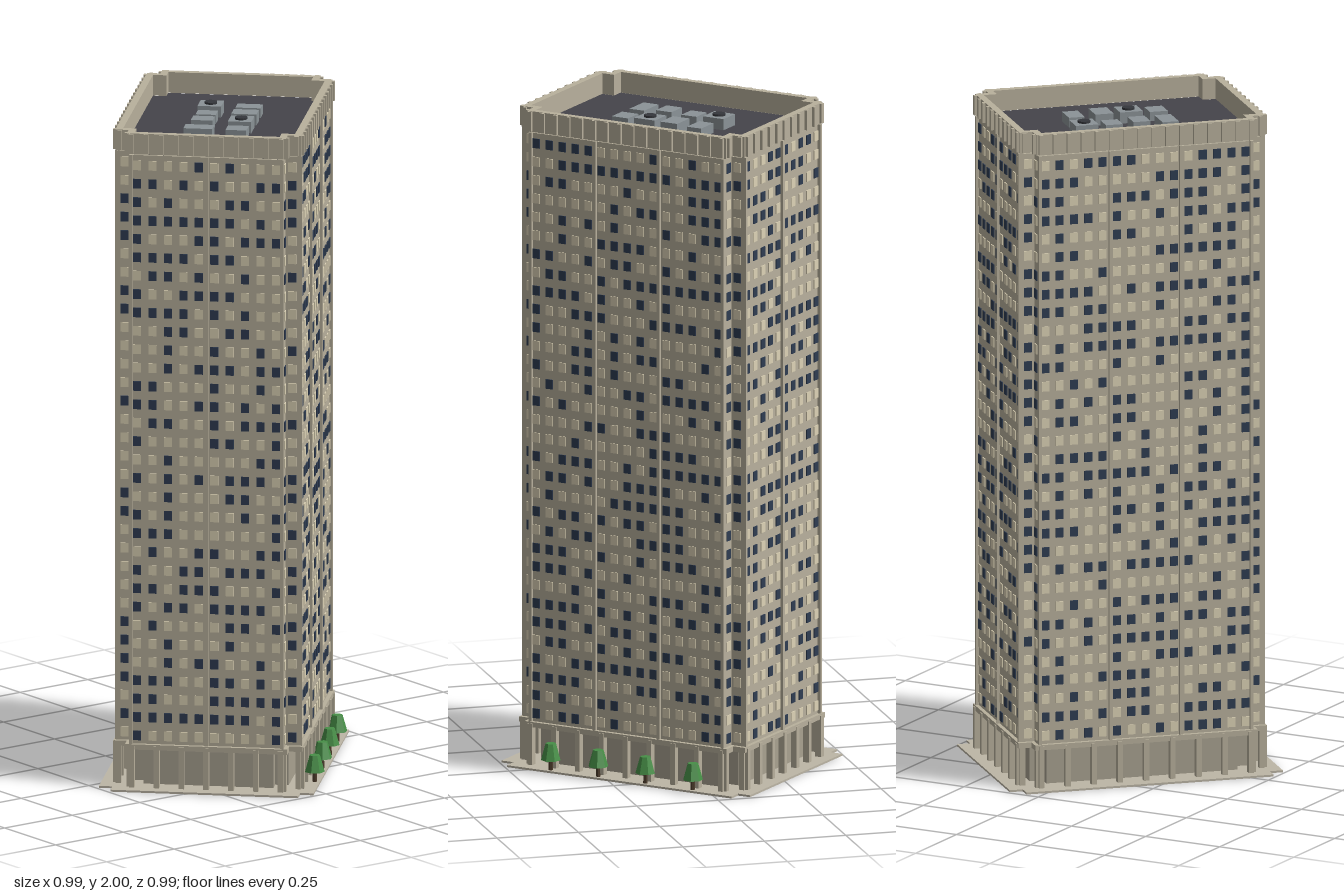
import * as THREE from 'three';
import { mergeGeometries } from 'three/addons/utils/BufferGeometryUtils.js';

const NOTCH = 0.04, HALF_U = 0.37, HALF_V = 0.27;
const BASE_TOP = 0.135, ROOF = 1.935, TOP = 2, FLOORS = 32;

const mat = (color) => new THREE.MeshStandardMaterial({ color, flatShading: true });
const stone = mat(0xb9b19d), paving = mat(0xbdb6a6), darkGlass = mat(0x2e3c52), litGlass = mat(0xddd3b6);
const roofMat = mat(0x45444a), unitMat = mat(0x8b9397), fanMat = mat(0x35373c);
const leafMat = mat(0x478f47), trunkMat = mat(0x4a3a2a), lobbyMat = mat(0xa9a291);

// Small seeded generator for the lit and unlit windows
let seed = 7;
const rand = () => (seed = (seed * 16807) % 2147483647) / 2147483647;

// Rectangle with a square notch cut out of each corner
function notched(Type, a, b, n = NOTCH) {
  return new Type([
    [a, b - n], [a - n, b - n], [a - n, b], [n - a, b], [n - a, b - n], [-a, b - n],
    [-a, n - b], [n - a, n - b], [n - a, -b], [a - n, -b], [a - n, n - b], [a, n - b],
  ].map(([x, y]) => new THREE.Vector2(x, y)));
}

// Notched slab grown by "grow" from the tower outline, with an optional ring opening
function slab(name, grow, y0, y1, material, hole) {
  const shape = notched(THREE.Shape, HALF_U + grow, HALF_V + grow);
  if (hole !== undefined) shape.holes.push(notched(THREE.Path, HALF_U + hole, HALF_V + hole));
  const geo = new THREE.ExtrudeGeometry(shape, { depth: y1 - y0, bevelEnabled: false });
  geo.rotateX(-Math.PI / 2).translate(0, y0, 0);
  const mesh = new THREE.Mesh(geo, material);
  mesh.name = name;
  return mesh;
}

// The four sides: turn, half length, distance from centre, window bays, bay groups, base bays
const sides = [0, 1, 2, 3].map((i) => ({
  turn: (i * Math.PI) / 2,
  half: i % 2 ? HALF_V : HALF_U,
  dist: i % 2 ? HALF_U : HALF_V,
  bays: i % 2 ? 10 : 15,
  groups: i % 2 ? 2 : 3,
  columns: i % 2 ? 6 : 8,
}));

// Box placed on a side: t along it, y centre height, out = distance from the axis
function sideBox(side, w, h, d, t, y, out) {
  return new THREE.BoxGeometry(w, h, d).translate(t, y, out).rotateY(side.turn);
}

function merged(name, geos, material) {
  const mesh = new THREE.Mesh(mergeGeometries(geos), material);
  mesh.name = name;
  return mesh;
}

function facades() {
  const dark = [], lit = [], piers = [], fins = [], columns = [];
  const pitch = (ROOF - 0.005 - BASE_TOP) / FLOORS;
  for (const s of sides) {
    const main = s.half - NOTCH, bay = (2 * main) / s.bays;
    // Windows, with one more column in each corner notch
    const spots = [];
    for (let i = 0; i < s.bays; i++) spots.push([-main + bay * (i + 0.5), s.dist]);
    for (const e of [-1, 1]) spots.push([e * (s.half - NOTCH / 2), s.dist - NOTCH]);
    for (let f = 0; f < FLOORS; f++) {
      for (const [t, out] of spots) {
        const list = rand() < 0.52 ? dark : lit;
        list.push(sideBox(s, 0.024, 0.029, 0.006, t, BASE_TOP + pitch * (f + 0.5), out));
      }
    }
    // Full-height piers between the bay groups
    const h = ROOF - BASE_TOP;
    for (let i = 0; i <= s.groups; i++) {
      const t = (-main + 0.005) + (2 * (main - 0.005) * i) / s.groups;
      piers.push(sideBox(s, 0.01, h, 0.014, t, BASE_TOP + h / 2, s.dist + 0.002));
    }
    // Parapet fins
    for (let i = 0; i <= s.bays; i++) {
      const t = -main + 0.006 + (2 * (main - 0.006) * i) / s.bays;
      fins.push(sideBox(s, 0.013, 0.06, 0.014, t, 1.969, s.dist + 0.008));
    }
    for (const e of [-1, 1]) fins.push(sideBox(s, 0.013, 0.06, 0.014, e * (s.half - 0.006), 1.969, s.dist - NOTCH + 0.008));
    // Base colonnade
    for (let i = 0; i <= s.columns; i++) {
      const t = -main + 0.008 + (2 * (main - 0.008) * i) / s.columns;
      columns.push(sideBox(s, 0.016, 0.13, 0.02, t, 0.068, s.dist + 0.005));
    }
    for (const e of [-1, 1]) columns.push(sideBox(s, 0.016, 0.13, 0.016, e * (s.half - 0.002), 0.068, s.dist - NOTCH));
  }
  return [
    merged('darkWindows', dark, darkGlass), merged('litWindows', lit, litGlass),
    merged('facadePiers', piers, stone), merged('parapetFins', fins, stone),
    merged('baseColumns', columns, stone),
  ];
}

// Rooftop unit, with an optional round fan
function roofUnit(u, v, w, d, h, fan) {
  const g = new THREE.Group();
  g.name = 'roofUnit';
  const box = new THREE.Mesh(new THREE.BoxGeometry(w, h, d), unitMat);
  box.name = 'unitHousing';
  box.position.y = h / 2;
  g.add(box);
  if (fan) {
    const disc = new THREE.Mesh(new THREE.CylinderGeometry(0.019, 0.019, 0.006, 16), fanMat);
    disc.name = 'unitFan';
    disc.position.y = h + 0.003;
    g.add(disc);
  }
  g.position.set(u, ROOF, v);
  return g;
}

function tree(u, v, turn) {
  const g = new THREE.Group();
  g.name = 'tree';
  const trunk = new THREE.Mesh(new THREE.CylinderGeometry(0.006, 0.007, 0.036, 6), trunkMat);
  trunk.name = 'trunk';
  trunk.position.y = 0.022;
  const crown = new THREE.Mesh(new THREE.CylinderGeometry(0.016, 0.03, 0.05, 7), leafMat);
  crown.name = 'crown';
  crown.position.y = 0.063;
  g.add(trunk, crown);
  g.position.set(u, 0, v);
  g.rotation.y = turn;
  return g;
}

export function createModel() {
  seed = 7;
  const tower = new THREE.Group();
  tower.name = 'tower';
  tower.add(
    slab('plinth', 0.05, 0.001, 0.007, paving),
    slab('foundation', -0.04, 0, 0.005, darkGlass),
    slab('lobby', -0.036, 0.006, BASE_TOP, lobbyMat),
    slab('baseBand', 0.012, 0.122, 0.138, stone),
    slab('towerBody', 0, BASE_TOP - 0.005, ROOF - 0.002, stone),
    slab('roofDeck', -0.008, ROOF - 0.004, ROOF, roofMat),
    slab('parapet', 0.007, ROOF + 0.002, TOP, stone, -0.014),
    ...facades(),
  );
  // Two rows of rooftop units
  [
    [0.127, -0.057, 0.07, 0.07, 0.034, true], [0.042, -0.057, 0.052, 0.06, 0.028],
    [-0.042, -0.057, 0.052, 0.065, 0.032], [-0.127, -0.057, 0.05, 0.086, 0.028],
    [0.127, 0.057, 0.048, 0.075, 0.03], [0.042, 0.057, 0.056, 0.075, 0.034],
    [-0.042, 0.057, 0.07, 0.07, 0.034, true], [-0.127, 0.057, 0.055, 0.062, 0.028],
  ].forEach((u) => tower.add(roofUnit(...u)));
  // Row of trees along one long side
  [-0.24, -0.08, 0.08, 0.24].forEach((u, i) => tower.add(tree(u, 0.304, i * 0.4)));

  // The tower stands diagonally on its site
  tower.rotation.y = Math.PI / 4;
  const model = new THREE.Group();
  model.name = 'officeTower';
  model.add(tower);
  return model;
}
